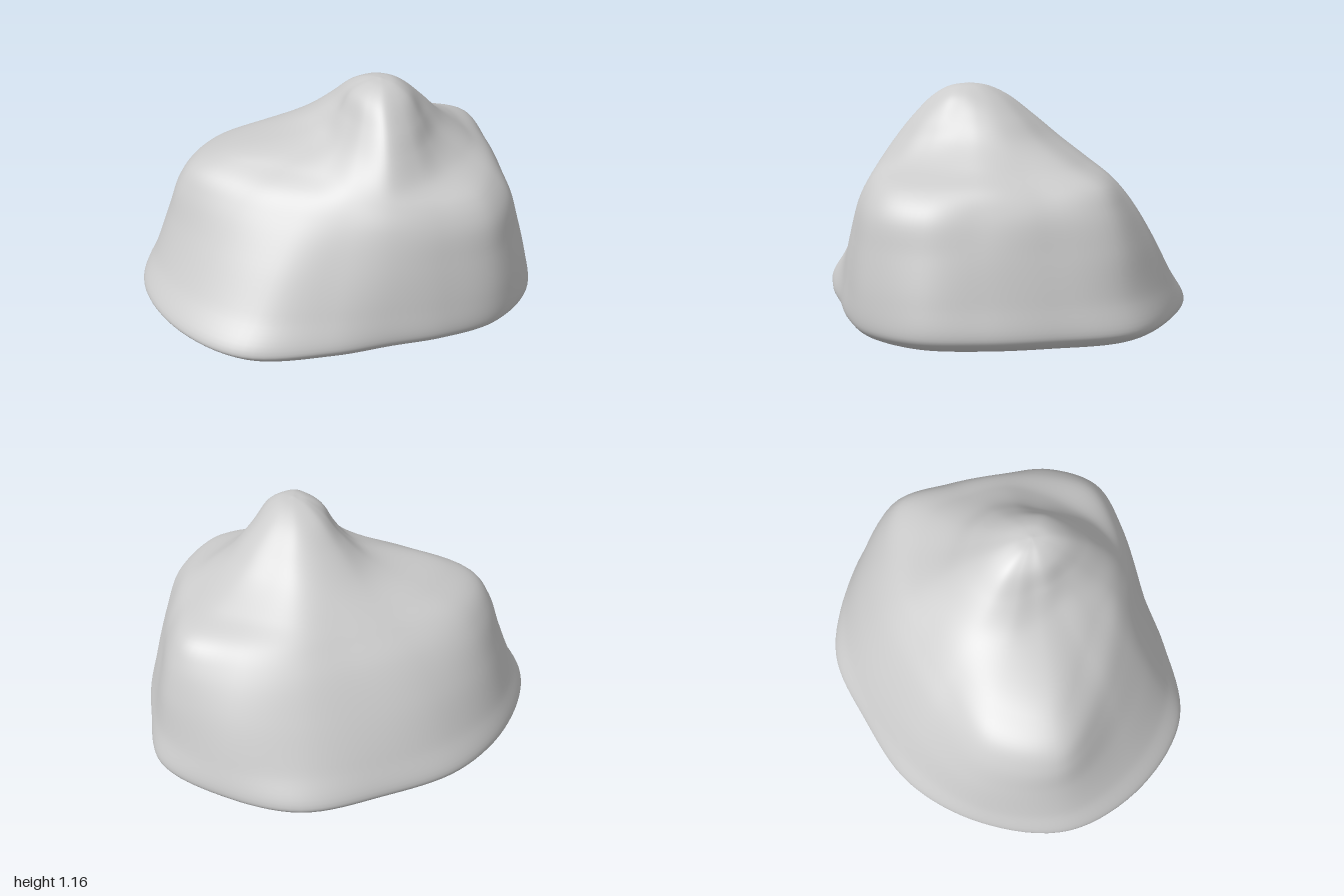
import * as THREE from 'three';

// Contour heights, from the base rim to just under the summit
const LEVELS = [0.105, 0.25, 0.45, 0.62, 0.72, 0.8, 0.9, 1.0, 1.1];
const AXIS = { x: 0.12, z: 0.16 };

// One profile per 22.5 degrees, turning from +x towards +z: radius from the axis at each level
const RAYS = [
  [0.81, 0.78, 0.73, 0.68, 0.61, 0.49, 0.36, 0.26, 0.15],
  [0.77, 0.74, 0.69, 0.63, 0.57, 0.46, 0.33, 0.24, 0.15],
  [0.78, 0.76, 0.71, 0.66, 0.57, 0.42, 0.30, 0.23, 0.16], // front buttress
  [0.74, 0.74, 0.71, 0.67, 0.59, 0.41, 0.31, 0.25, 0.18], // hollow above it
  [0.67, 0.66, 0.63, 0.59, 0.53, 0.43, 0.35, 0.28, 0.19],
  [0.66, 0.64, 0.60, 0.55, 0.50, 0.45, 0.38, 0.30, 0.20], // ridge beside the hollow
  [0.77, 0.71, 0.62, 0.54, 0.48, 0.42, 0.33, 0.25, 0.17],
  [0.99, 0.88, 0.74, 0.61, 0.52, 0.41, 0.29, 0.21, 0.15], // front gully
  [1.10, 1.00, 0.87, 0.75, 0.65, 0.49, 0.28, 0.20, 0.14],
  [1.17, 1.10, 1.02, 0.96, 0.89, 0.72, 0.32, 0.20, 0.13], // broad shoulder
  [1.13, 1.08, 1.01, 0.93, 0.84, 0.67, 0.38, 0.24, 0.14],
  [1.08, 1.01, 0.91, 0.79, 0.68, 0.57, 0.41, 0.28, 0.16],
  [1.01, 0.95, 0.84, 0.72, 0.62, 0.53, 0.41, 0.29, 0.16], // back slope
  [1.03, 0.95, 0.84, 0.73, 0.64, 0.54, 0.41, 0.29, 0.16],
  [0.98, 0.94, 0.86, 0.76, 0.67, 0.53, 0.38, 0.27, 0.15], // back gully
  [0.95, 0.91, 0.87, 0.81, 0.74, 0.56, 0.38, 0.27, 0.15], // side shoulder
];

const SEGMENTS = 128;
const ROWS = 96;

// Smooth closed contour at one level, scaled about the axis
function contour(level, y, scale = 1, shiftZ = 0) {
  const points = RAYS.map((ray, k) => {
    const angle = (k / RAYS.length) * Math.PI * 2;
    const r = ray[level] * scale;
    return new THREE.Vector3(AXIS.x + r * Math.cos(angle), y, AXIS.z + shiftZ + r * Math.sin(angle));
  });
  return new THREE.CatmullRomCurve3(points, true);
}

function rockGeometry() {
  const foot = new THREE.Vector3(AXIS.x, 0, AXIS.z);
  const summit = new THREE.Vector3(AXIS.x, 1.16, AXIS.z + 0.03);
  const contours = [
    contour(0, 0.012, 0.6), // gently bowed underside
    contour(0, 0.04, 0.91),
    contour(0, 0.07, 0.975),
    ...LEVELS.map((y, level) => contour(level, y)),
    contour(LEVELS.length - 1, 1.146, 0.5, 0.02), // rounded crown
  ];

  // Each column is a smooth profile running from the foot over the rim to the summit
  const columns = [];
  for (let j = 0; j < SEGMENTS; j++) {
    const profile = [foot, ...contours.map((c) => c.getPoint(j / SEGMENTS)), summit];
    columns.push(new THREE.CatmullRomCurve3(profile).getPoints(ROWS));
  }

  const positions = [];
  for (let i = 0; i <= ROWS; i++) {
    for (const column of columns) positions.push(...column[i].toArray());
  }

  // Stitch neighbouring columns; the two end rows collapse to a single vertex
  const id = (i, j) => i * SEGMENTS + (i === 0 || i === ROWS ? 0 : j % SEGMENTS);
  const index = [];
  for (let i = 0; i < ROWS; i++) {
    for (let j = 0; j < SEGMENTS; j++) {
      const a = id(i, j), b = id(i, j + 1), c = id(i + 1, j), d = id(i + 1, j + 1);
      if (i > 0) index.push(a, c, b);
      if (i < ROWS - 1) index.push(b, c, d);
    }
  }

  const geometry = new THREE.BufferGeometry();
  geometry.setAttribute('position', new THREE.Float32BufferAttribute(positions, 3));
  geometry.setIndex(index);
  geometry.computeVertexNormals();
  return geometry;
}

export function createModel() {
  const group = new THREE.Group();
  group.name = 'boulder';
  const rock = new THREE.Mesh(rockGeometry(), new THREE.MeshStandardMaterial({ color: 0xcccccc }));
  rock.name = 'rock';
  group.add(rock);
  return group;
}
